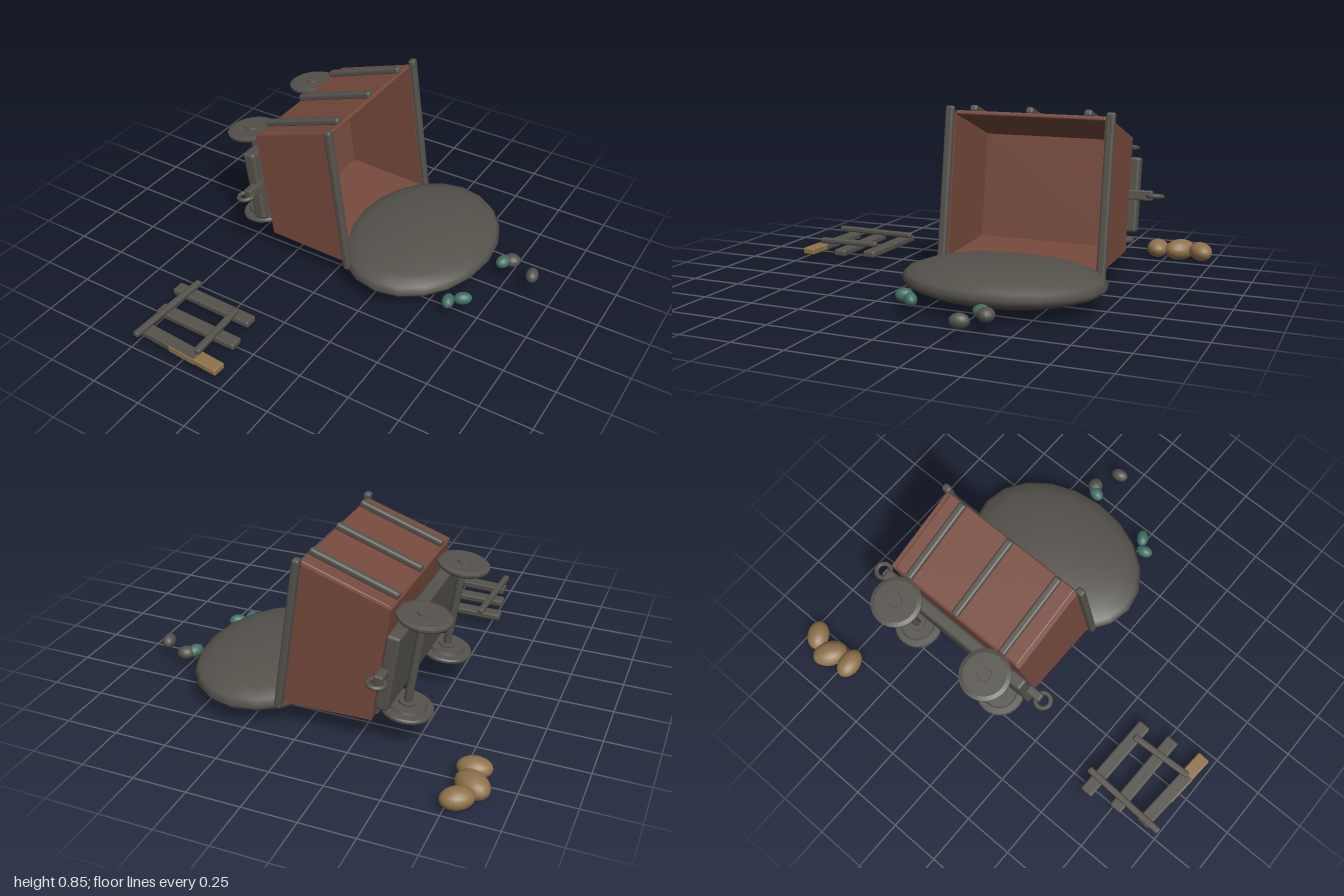
import * as THREE from 'three';
import { RoundedBoxGeometry } from 'three/addons/geometries/RoundedBoxGeometry.js';

const mat = (name, color) => {
  const m = new THREE.MeshStandardMaterial({ color });
  m.name = name;
  return m;
};

export function createModel() {
  const iron = mat('dark iron', 0x55524c);
  const rust = mat('rust red', 0x774a3d);
  const tan = mat('tan', 0x8f724b);
  const teal = mat('teal ore', 0x416e63);

  const root = new THREE.Group();
  root.name = 'tippedMineCart';

  const add = (parent, name, geo, material, x = 0, y = 0, z = 0) => {
    const m = new THREE.Mesh(geo, material);
    m.name = name;
    m.position.set(x, y, z);
    parent.add(m);
    return m;
  };
  const box = (w, h, d, r = 0.008) => new RoundedBoxGeometry(w, h, d, 2, r);
  const blob = (name, material, x, y, z, rx, ry, rz, yaw = 0, seg = 16) => {
    const m = add(root, name, new THREE.SphereGeometry(1, seg, 10), material, x, y, z);
    m.scale.set(rx, ry, rz);
    m.rotation.y = yaw;
    return m;
  };

  // Cart, modelled upright and then tipped so its opening faces +x
  const cart = new THREE.Group();
  cart.name = 'cart';
  cart.position.set(-0.36, 0.41, -0.285);
  cart.rotation.z = -1.423;
  root.add(cart);

  add(cart, 'floor', box(0.55, 0.02, 0.74), rust);

  const side = new THREE.Shape();
  side.moveTo(-0.275, -0.01);
  side.lineTo(0.275, -0.01);
  side.lineTo(0.35, 0.41);
  side.lineTo(-0.35, 0.41);
  side.closePath();
  const sideGeo = new THREE.ExtrudeGeometry(side, { depth: 0.02, bevelEnabled: false });
  sideGeo.translate(0, 0, -0.01);

  // Wheel profile: wide outer disc, narrower inner tread, small hub
  const wheelGeo = new THREE.LatheGeometry([
    [0, -0.035], [0.04, -0.035], [0.04, -0.026], [0.082, -0.026], [0.088, -0.012],
    [0.115, -0.01], [0.12, -0.003], [0.12, 0.007], [0.1, 0.014], [0.032, 0.014],
    [0.03, 0.022], [0, 0.022],
  ].flatMap(([r, y], i, a) => {
    // doubled points keep the profile's edges crisp
    const p = new THREE.Vector2(r, y);
    return i === 0 || i === a.length - 1 ? [p] : [p, p.clone()];
  }), 28);

  const tilt = Math.atan2(0.08, 0.42);
  for (const s of [-1, 1]) {
    // Side panels and rims
    add(cart, 'sidePanel', sideGeo, rust, 0, 0, s * 0.375);
    add(cart, 'rim', box(0.75, 0.035, 0.042, 0.012), iron, 0, 0.418, s * 0.393);

    // Sloping end panels with three battens each
    const end = new THREE.Group();
    end.name = 'endWall';
    end.position.set(s * 0.307, 0.205, 0);
    end.rotation.z = -s * tilt;
    cart.add(end);
    add(end, 'endPanel', box(0.022, 0.425, 0.735), rust);
    for (const z of [-0.28, 0, 0.28]) {
      add(end, 'batten', box(0.034, 0.425, 0.038, 0.012), iron, s * 0.023, 0, z);
    }

    // Couplings with rings
    add(cart, 'couplingStem', box(0.05, 0.042, 0.12), iron, 0, -0.037, s * 0.435);
    const ring = add(cart, 'couplingRing', new THREE.TorusGeometry(0.036, 0.011, 8, 20), iron, 0, -0.037, s * 0.505);
    ring.rotation.y = Math.PI / 2;

    // Axles and wheels
    const axle = add(cart, 'axle', new THREE.CylinderGeometry(0.019, 0.019, 0.44, 14), iron, 0, -0.122, s * 0.27);
    axle.rotation.z = Math.PI / 2;
    for (const e of [-1, 1]) {
      const wheel = add(cart, 'wheel', wheelGeo, iron, e * 0.228, -0.122, s * 0.27);
      wheel.rotation.z = -e * Math.PI / 2;
    }
  }
  add(cart, 'chassis', box(0.365, 0.062, 0.85, 0.014), iron, 0, -0.05, 0);

  // Spilled heap
  blob('spilledHeap', iron, 0.3, 0.111, -0.285, 0.365, 0.09, 0.478, 0, 20);

  // Loose lumps of ore and stone
  blob('oreLump', teal, 0.617, 0.08, 0.047, 0.03, 0.031, 0.043, 0.25);
  blob('oreLump', teal, 0.668, 0.08, -0.006, 0.044, 0.031, 0.03, 0.6);
  blob('oreLump', teal, 0.715, 0.08, -0.355, 0.032, 0.031, 0.043, -0.3);
  blob('stoneLump', iron, 0.747, 0.08, -0.388, 0.042, 0.032, 0.038, 0.4);
  blob('stoneLump', iron, 0.878, 0.084, -0.327, 0.031, 0.033, 0.044, 0.2);

  // Sacks
  blob('sack', tan, -0.80, 0.058, -0.94, 0.075, 0.047, 0.055, 0.6, 20);
  blob('sack', tan, -0.83, 0.053, -0.828, 0.088, 0.053, 0.064, -0.6, 20);
  blob('sack', tan, -0.806, 0.056, -0.717, 0.077, 0.046, 0.055, 0.15, 20);

  // Broken track: sleepers underneath
  const track = new THREE.Group();
  track.name = 'brokenTrack';
  root.add(track);
  const sleeperGeo = box(0.446, 0.034, 0.066, 0.01);
  add(track, 'sleeper', sleeperGeo, iron, -0.322, 0.047, 0.615).rotation.y = -0.025;
  add(track, 'sleeper', sleeperGeo, iron, -0.293, 0.047, 0.77).rotation.y = -0.015;
  const split = new THREE.Group();
  split.name = 'wornSleeper';
  split.position.set(-0.263, 0.047, 0.927);
  split.rotation.y = -0.07;
  track.add(split);
  add(split, 'sleeperDarkPart', box(0.326, 0.034, 0.066), iron, -0.06);
  add(split, 'sleeperWornEnd', box(0.13, 0.034, 0.066), tan, 0.158);
  add(split, 'sleeperWornFace', box(0.15, 0.03, 0.006, 0.002), tan, 0.025, 0, 0.032);

  // Rails on top
  const rail = (x0, z0, x1, z1) => {
    const len = Math.hypot(x1 - x0, z1 - z0);
    const r = add(track, 'rail', box(0.032, 0.028, len, 0.01), iron, (x0 + x1) / 2, 0.082, (z0 + z1) / 2);
    r.rotation.y = Math.atan2(x1 - x0, z1 - z0);
  };
  rail(-0.451, 0.55, -0.472, 0.995);
  rail(-0.186, 0.618, -0.17, 0.938);

  return root;
}
